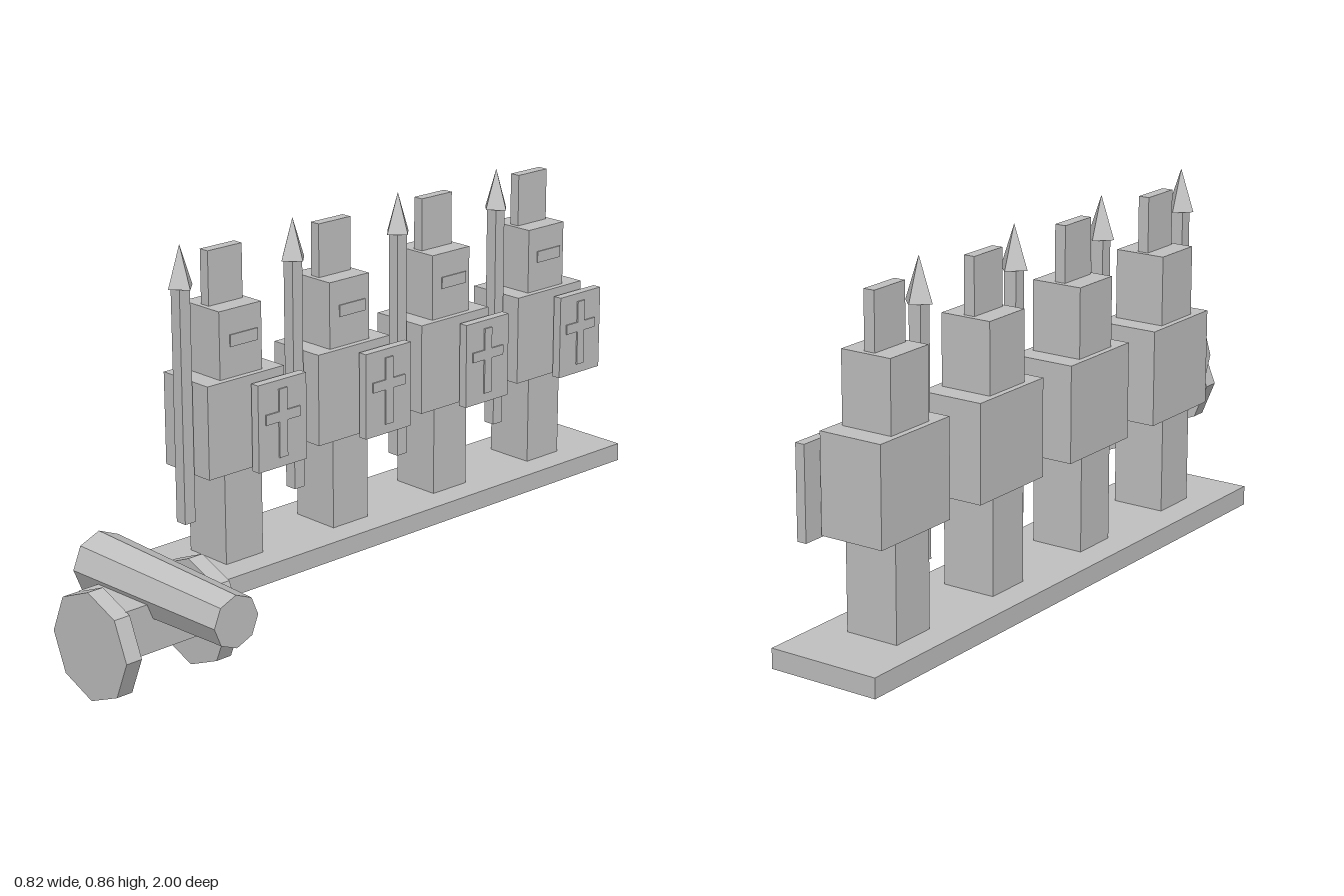
import * as THREE from 'three';

const grey = new THREE.MeshStandardMaterial({ color: 0xc0c0c0, flatShading: true, side: THREE.DoubleSide });
grey.name = 'grey';

function add(parent, name, geometry, x = 0, y = 0, z = 0) {
  const mesh = new THREE.Mesh(geometry, grey);
  mesh.name = name;
  mesh.position.set(x, y, z);
  parent.add(mesh);
  return mesh;
}

// Box given by its min and max along each axis
function block(parent, name, [x0, x1], [y0, y1], [z0, z1]) {
  return add(parent, name, new THREE.BoxGeometry(x1 - x0, y1 - y0, z1 - z0),
    (x0 + x1) / 2, (y0 + y1) / 2, (z0 + z1) / 2);
}

// Cross-shaped thin plate, facing +x
function crossGeometry(w, up, down, arm, depth) {
  const pts = [[w, -down], [w, -w], [arm, -w], [arm, w], [w, w], [w, up],
    [-w, up], [-w, w], [-arm, w], [-arm, -w], [-w, -w], [-w, -down]];
  const shape = new THREE.Shape(pts.map(p => new THREE.Vector2(...p)));
  return new THREE.ExtrudeGeometry(shape, { depth, bevelEnabled: false }).rotateY(Math.PI / 2);
}

// One spearman; z is measured from the middle of the legs
function createSoldier() {
  const soldier = new THREE.Group();
  soldier.name = 'soldier';
  block(soldier, 'legs', [-0.34, -0.205], [0.048, 0.285], [-0.059, 0.059]);
  block(soldier, 'torso', [-0.352, -0.19], [0.285, 0.52], [-0.122, 0.119]);
  block(soldier, 'head', [-0.337, -0.206], [0.52, 0.69], [-0.066, 0.066]);
  block(soldier, 'crest', [-0.286, -0.258], [0.69, 0.826], [-0.053, 0.053]);
  block(soldier, 'visorSlit', [-0.21, -0.203], [0.597, 0.627], [-0.052, 0.034]);

  // Spear held in front
  block(soldier, 'spearShaft', [-0.273, -0.241], [0.167, 0.756], [0.123, 0.155]);
  add(soldier, 'spearTip', new THREE.ConeGeometry(0.037, 0.104, 4), -0.257, 0.807, 0.139);

  // Shield with a raised cross on the side
  block(soldier, 'shield', [-0.183, -0.159], [0.278, 0.5], [-0.166, -0.011]);
  add(soldier, 'shieldCross', crossGeometry(0.013, 0.07, 0.105, 0.055, 0.006), -0.161, 0.408, -0.0885);
  return soldier;
}

function createCannon() {
  const cannon = new THREE.Group();
  cannon.name = 'cannon';
  const barrel = new THREE.CylinderGeometry(0.0615, 0.075, 0.47, 8).rotateZ(-Math.PI / 2);
  add(cannon, 'barrel', barrel, 0.175, 0.237, 0.838);
  block(cannon, 'carriage', [0.02, 0.186], [0.11, 0.226], [0.715, 0.96]);
  const wheel = new THREE.CylinderGeometry(0.129, 0.129, 0.042, 8).rotateX(Math.PI / 2);
  for (const z of [0.979, 0.696]) add(cannon, 'wheel', wheel, 0.105, 0.13, z);
  return cannon;
}

export function createModel() {
  const model = new THREE.Group();
  model.name = 'soldiersAndCannon';

  // Tray base, open underneath: the bottom face is left out
  const base = block(model, 'base', [-0.411, -0.131], [0, 0.048], [-1, 0.507]);
  const index = Array.from(base.geometry.index.array);
  index.splice(18, 6);
  base.geometry.setIndex(index);
  base.geometry.clearGroups();

  for (let i = 0; i < 4; i++) {
    const soldier = createSoldier();
    soldier.position.z = 0.286 - i * 0.3535;
    model.add(soldier);
  }
  model.add(createCannon());
  return model;
}
